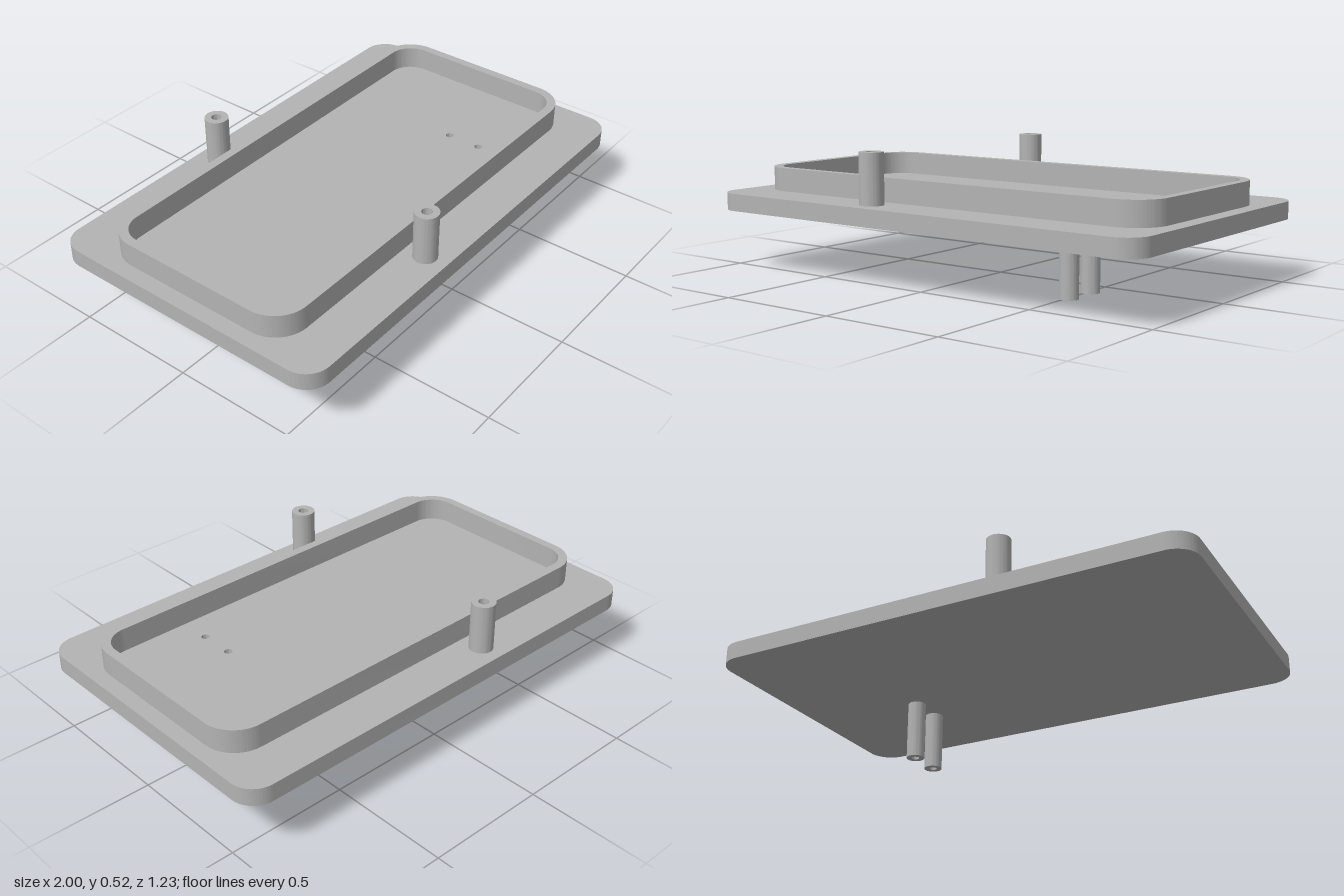
import * as THREE from 'three';
import { toCreasedNormals } from 'three/addons/utils/BufferGeometryUtils.js';

// Rounded rectangle centred on the origin, given half sizes and corner radius
function roundedRect(hx, hz, r, Type = THREE.Shape) {
  const s = new Type();
  s.moveTo(-hx + r, -hz);
  s.lineTo(hx - r, -hz);
  s.absarc(hx - r, -hz + r, r, -Math.PI / 2, 0);
  s.lineTo(hx, hz - r);
  s.absarc(hx - r, hz - r, r, 0, Math.PI / 2);
  s.lineTo(-hx + r, hz);
  s.absarc(-hx + r, hz - r, r, Math.PI / 2, Math.PI);
  s.lineTo(-hx, -hz + r);
  s.absarc(-hx + r, -hz + r, r, Math.PI, Math.PI * 1.5);
  return s;
}

// Circle on the plan; the shape's y axis is -z
function circle(x, z, r, Type = THREE.Path) {
  return new Type().absarc(x, -z, r, 0, Math.PI * 2);
}

export function createModel() {
  const group = new THREE.Group();
  const grey = new THREE.MeshStandardMaterial({ color: 0xb3b3b3 });
  grey.name = 'grey';

  // Extrudes a plan outline from y0 up to y1
  function addPart(name, shape, holes, y0, y1) {
    shape.holes.push(...holes);
    const geo = new THREE.ExtrudeGeometry(shape, { depth: y1 - y0, bevelEnabled: false, curveSegments: 24 });
    geo.rotateX(-Math.PI / 2).translate(0, y0, 0);
    const mesh = new THREE.Mesh(toCreasedNormals(geo, 0.6), grey);
    mesh.name = name;
    group.add(mesh);
  }

  const bottom = 0.243, top = 0.314;
  const tubeX = 0.51, tubeZ = [0.12, 0.263], bore = 0.016;

  // Base plate, drilled through where the lower tubes meet it
  addPart('basePlate', roundedRect(1, 0.613, 0.1), tubeZ.map(z => circle(tubeX, z, bore)), bottom, top);

  // Raised rim around the tray
  addPart('rim', roundedRect(0.935, 0.43, 0.137), [roundedRect(0.898, 0.393, 0.1, THREE.Path)], top, 0.41);

  // Hollow screw posts in front of and behind the rim
  for (const [name, z] of [['frontPost', 0.518], ['backPost', -0.518]]) {
    addPart(name, circle(-0.225, z, 0.048, THREE.Shape), [circle(-0.225, z, 0.021)], top, 0.518);
  }

  // Tubes hanging below the plate
  tubeZ.forEach((z, i) => {
    addPart('lowerTube' + (i + 1), circle(tubeX, z, 0.037, THREE.Shape), [circle(tubeX, z, bore)], 0, bottom);
  });

  return group;
}
